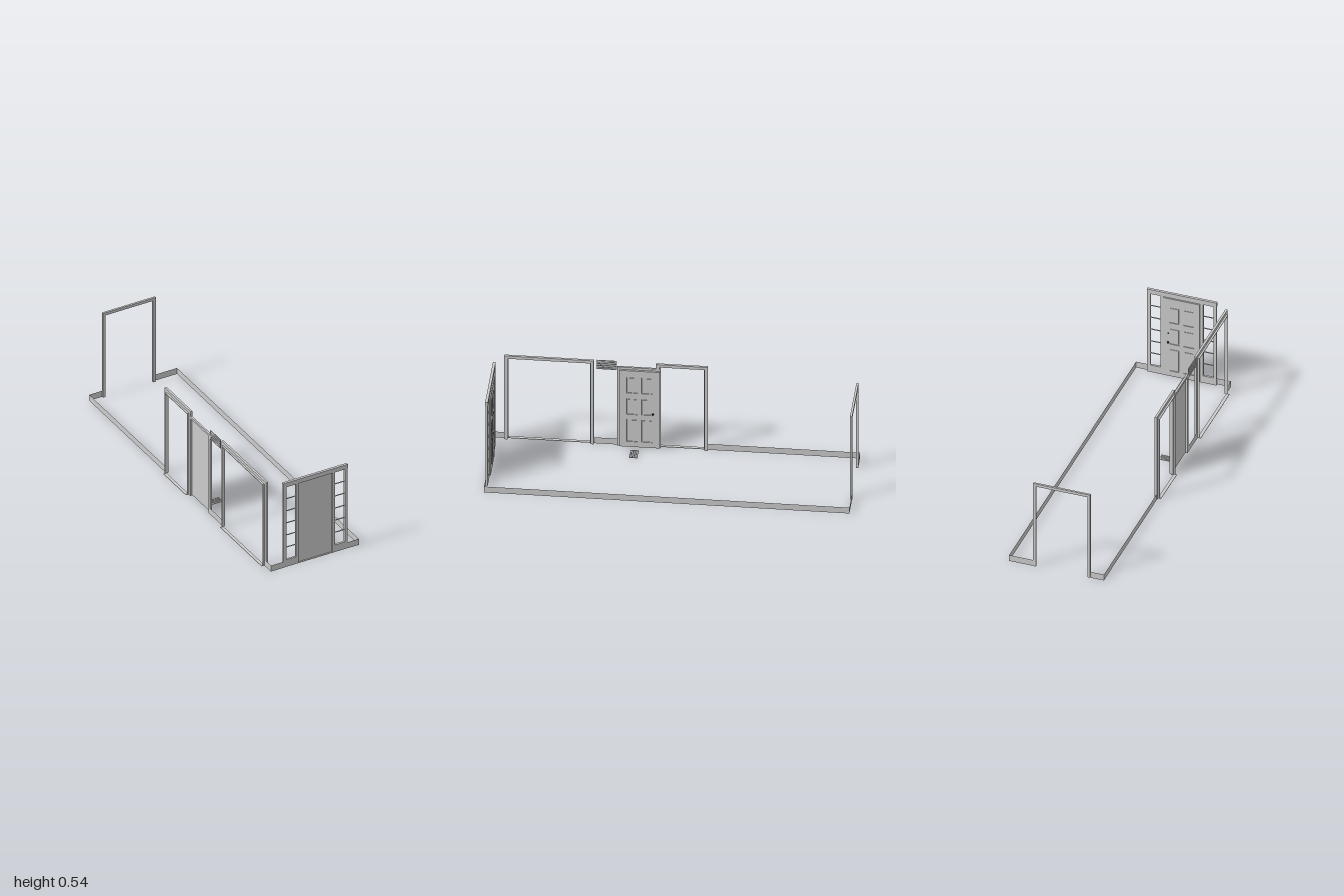
import * as THREE from 'three';

const grey = new THREE.MeshStandardMaterial({ color: 0xcccccc, flatShading: true, side: THREE.DoubleSide });
const smooth = new THREE.MeshStandardMaterial({ color: 0xcccccc });
const dark = new THREE.MeshStandardMaterial({ color: 0x333333 });

// Box given by its limits on each axis
function box(name, x0, x1, y0, y1, z0, z1, mat = grey) {
  const m = new THREE.Mesh(new THREE.BoxGeometry(x1 - x0, y1 - y0, z1 - z0), mat);
  m.name = name;
  m.position.set((x0 + x1) / 2, (y0 + y1) / 2, (z0 + z1) / 2);
  return m;
}

function rect(Type, x0, x1, y0, y1) {
  const s = new Type();
  s.moveTo(x0, y0);
  s.lineTo(x1, y0);
  s.lineTo(x1, y1);
  s.lineTo(x0, y1);
  s.closePath();
  return s;
}

function extrude(name, shape, z, depth) {
  const m = new THREE.Mesh(new THREE.ExtrudeGeometry(shape, { depth, bevelEnabled: false }), grey);
  m.name = name;
  m.position.z = z;
  return m;
}

// Three-sided casing standing on the floor, drawn in the xy plane
function casing(name, x0, x1, top, w, z, depth) {
  const s = new THREE.Shape();
  [[x0, 0], [x0 + w, 0], [x0 + w, top - w], [x1 - w, top - w], [x1 - w, 0], [x1, 0], [x1, top], [x0, top]]
    .forEach(([x, y], i) => (i ? s.lineTo(x, y) : s.moveTo(x, y)));
  return extrude(name, s, z, depth);
}

// Six-panel door: flat on the back (z = 0), panels on the +z face
function panelDoor(name, w, h, knobX, deadbolt) {
  const g = new THREE.Group();
  g.name = name;
  const face = rect(THREE.Shape, -w / 2, w / 2, 0, h);
  const rows = [[0.034, 0.178], [0.21, 0.312], [0.349, 0.45]];
  for (const [y0, y1] of rows) {
    for (const s of [-1, 1]) {
      const c = s * 0.041, hw = 0.03;
      face.holes.push(rect(THREE.Path, c - hw, c + hw, y0, y1));
      g.add(box('doorPanel', c - hw + 0.006, c + hw - 0.006, y0 + 0.006, y1 - 0.006, 0.006, 0.0095));
    }
  }
  g.add(box('doorSlab', -w / 2, w / 2, 0, h, 0, 0.007));
  g.add(extrude('doorStilesAndRails', face, 0.007, 0.004));
  // Handle: rose, neck and knob
  const pts = [[0, 0], [0.006, 0], [0.006, 0.002], [0.002, 0.003], [0.002, 0.005], [0.0045, 0.006],
    [0.005, 0.008], [0.003, 0.0095], [0, 0.0095]].map(([x, y]) => new THREE.Vector2(x, y));
  const knob = new THREE.Mesh(new THREE.LatheGeometry(pts, 16), dark);
  knob.name = 'doorKnob';
  knob.rotation.x = Math.PI / 2;
  knob.position.set(knobX, 0.22, 0.011);
  g.add(knob);
  if (deadbolt) {
    const bolt = new THREE.Mesh(new THREE.CylinderGeometry(0.004, 0.004, 0.003, 16), dark);
    bolt.name = 'deadbolt';
    bolt.rotation.x = Math.PI / 2;
    bolt.position.set(knobX, 0.28, 0.0125);
    g.add(bolt);
  }
  return g;
}

// Open grille with a border and slats along x
function grille(name, w, h, depth, slats) {
  const g = new THREE.Group();
  g.name = name;
  const s = rect(THREE.Shape, -w / 2, w / 2, -h / 2, h / 2);
  s.holes.push(rect(THREE.Path, -w / 2 + 0.004, w / 2 - 0.004, -h / 2 + 0.004, h / 2 - 0.004));
  g.add(extrude('grilleBorder', s, 0, depth));
  const inner = h - 0.008;
  for (let i = 0; i < slats; i++) {
    const y = -inner / 2 + (inner * (i + 0.5)) / slats, t = (inner / slats) * 0.32;
    g.add(box('grilleSlat', -w / 2 + 0.003, w / 2 - 0.003, y - t, y + t, 0, depth * 0.7));
  }
  return g;
}

export function createModel() {
  const model = new THREE.Group();
  const L = -0.266, R = 0.283, H = 0.038;

  // Baseboards, thin strips broken at the openings
  function baseboard(x0, z0, x1, z1) {
    const m = new THREE.Mesh(new THREE.PlaneGeometry(Math.hypot(x1 - x0, z1 - z0), H), grey);
    m.name = 'baseboard';
    m.position.set((x0 + x1) / 2, H / 2, (z0 + z1) / 2);
    m.rotation.y = x0 === x1 ? Math.PI / 2 : 0;
    model.add(m);
  }
  baseboard(R, -1, R, 1);
  for (const [a, b] of [[-1, -0.169], [0.33, 0.456], [0.946, 1]]) baseboard(L, a, L, b);
  for (const [a, b] of [[L, -0.187], [0.214, R]]) baseboard(a, 0.999, b, 0.999);
  for (const [a, b] of [[L, -0.187], [0.145, R]]) baseboard(a, -0.999, b, -0.999);

  // Entrance frame with a doorway and two sidelights
  const entrance = new THREE.Group();
  entrance.name = 'entrance';
  const frame = rect(THREE.Shape, -0.187, 0.214, 0, 0.53);
  const lights = [[-0.169, -0.11], [0.136, 0.196]];
  for (const [a, b] of lights) frame.holes.push(rect(THREE.Path, a, b, 0.045, 0.512));
  frame.holes.push(rect(THREE.Path, -0.093, 0.118, 0.003, 0.512));
  entrance.add(extrude('entranceFrame', frame, 0.986, 0.012));
  entrance.add(box('entranceHeader', -0.189, 0.215, 0.517, 0.541, 0.985, 1));
  for (const [a, b] of lights) {
    for (let i = 1; i < 6; i++) {
      const y = 0.045 + i * 0.0778;
      entrance.add(box('sidelightMuntin', a, b, y - 0.0015, y + 0.0015, 0.989, 0.995));
    }
  }
  const frontDoor = panelDoor('frontDoor', 0.208, 0.506, -0.078, true);
  frontDoor.rotation.y = Math.PI;
  frontDoor.position.set(0.0125, 0.004, 0.991);
  entrance.add(frontDoor);
  model.add(entrance);

  // Open doorway at the back
  model.add(casing('backCasing', -0.187, 0.145, 0.542, 0.017, -1, 0.012));

  // Left wall parts, built facing +z then turned to face +x (local x = -z)
  const wall = new THREE.Group();
  wall.name = 'sideWall';
  wall.rotation.y = Math.PI / 2;
  wall.position.x = -0.267;
  for (const [z0, z1] of [[0.456, 0.946], [-0.169, 0.115]]) {
    const w = 0.018;
    wall.add(casing('openingCasing', -z1, -z0, 0.542, w, 0, 0.013));
    wall.add(casing('openingLining', -z1 + w, -z0 - w, 0.523, 0.004, -0.01, 0.011));
    wall.add(box('openingSill', -z1 + w, -z0 - w, 0, 0.003, -0.018, 0));
  }
  wall.add(casing('sideDoorCasing', -0.33, -0.088, 0.511, 0.014, 0, 0.011));
  const sideDoor = panelDoor('sideDoor', 0.221, 0.493, 0.072, false);
  sideDoor.position.set(-0.2035, 0.004, 0.011);
  wall.add(sideDoor);
  const wallVent = grille('wallVent', 0.11, 0.057, 0.004, 4);
  wallVent.position.set(-0.387, 0.514, 0);
  wall.add(wallVent);
  model.add(wall);

  // Floor register
  const floorVent = grille('floorVent', 0.075, 0.046, 0.003, 4);
  floorVent.rotation.x = -Math.PI / 2;
  floorVent.position.set(-0.178, 0, 0.228);
  model.add(floorVent);

  return model;
}
